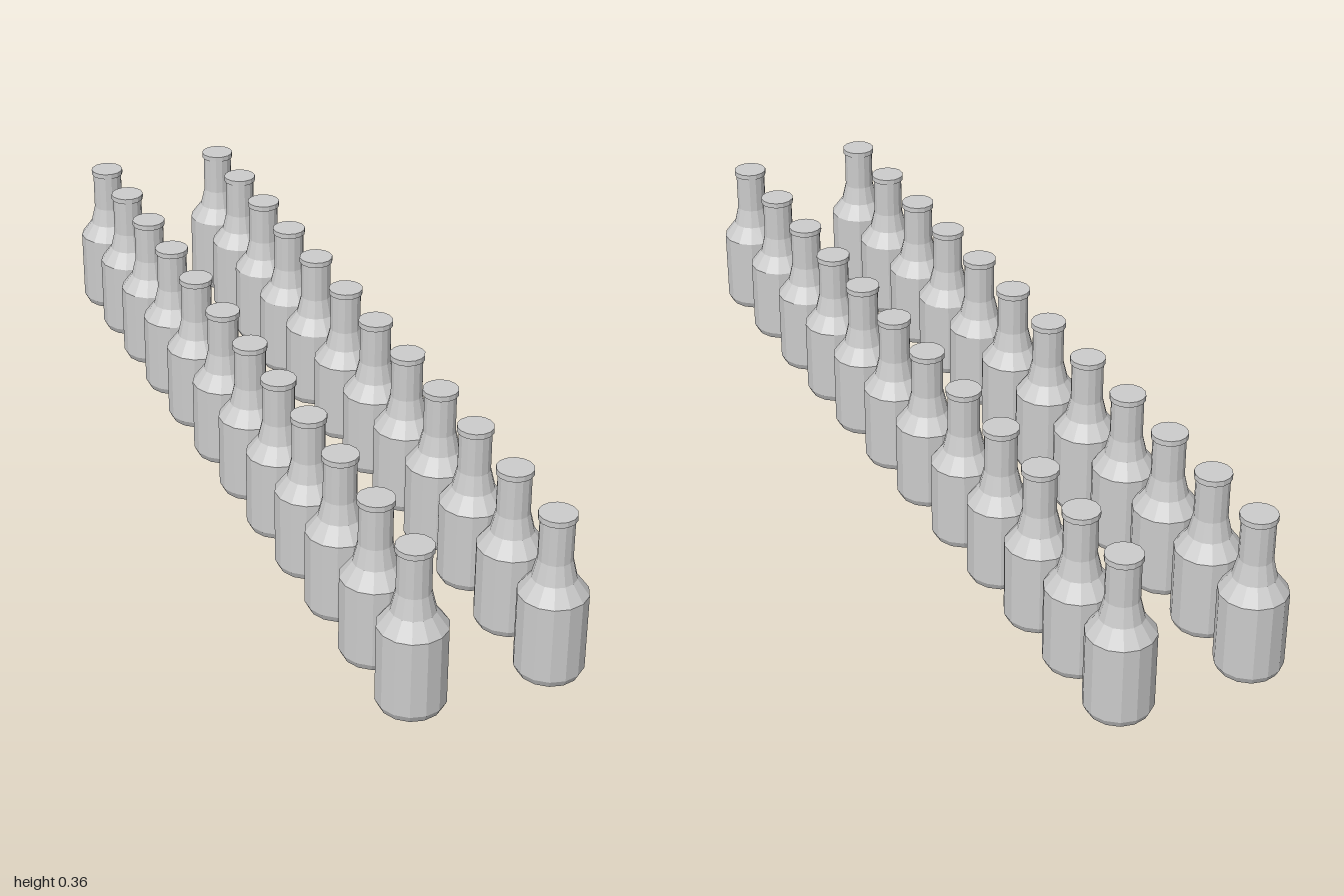
import * as THREE from 'three';

// Bottle outline as [radius, height], from the base centre to the closed top
const PROFILE = [
  [0, 0], [0.063, 0], [0.0705, 0.015], [0.0705, 0.181], [0.045, 0.215],
  [0.0348, 0.257], [0.0345, 0.344], [0.0382, 0.344], [0.0382, 0.356], [0, 0.356],
];
const SIDES = 14;
const ROW_X = 0.147;
// Slightly uneven spacing along each row
const ROW_Z = [-0.93, -0.767, -0.602, -0.434, -0.265, -0.089, 0.079, 0.247, 0.413, 0.578, 0.753, 0.93];

export function createModel() {
  const model = new THREE.Group();
  model.name = 'bottles';

  const bottleGeometry = new THREE.LatheGeometry(
    PROFILE.map(([r, y]) => new THREE.Vector2(r, y)), SIDES);
  const material = new THREE.MeshStandardMaterial({ color: 0xcccccc, flatShading: true });

  // Two mirrored rows of identical bottles
  for (const side of [1, -1]) {
    const row = new THREE.Group();
    row.name = side > 0 ? 'leftRow' : 'rightRow';
    row.position.x = side * ROW_X;
    ROW_Z.forEach((z, i) => {
      const bottle = new THREE.Mesh(bottleGeometry, material);
      bottle.name = `bottle${i + 1}`;
      bottle.position.z = z;
      row.add(bottle);
    });
    model.add(row);
  }
  return model;
}
